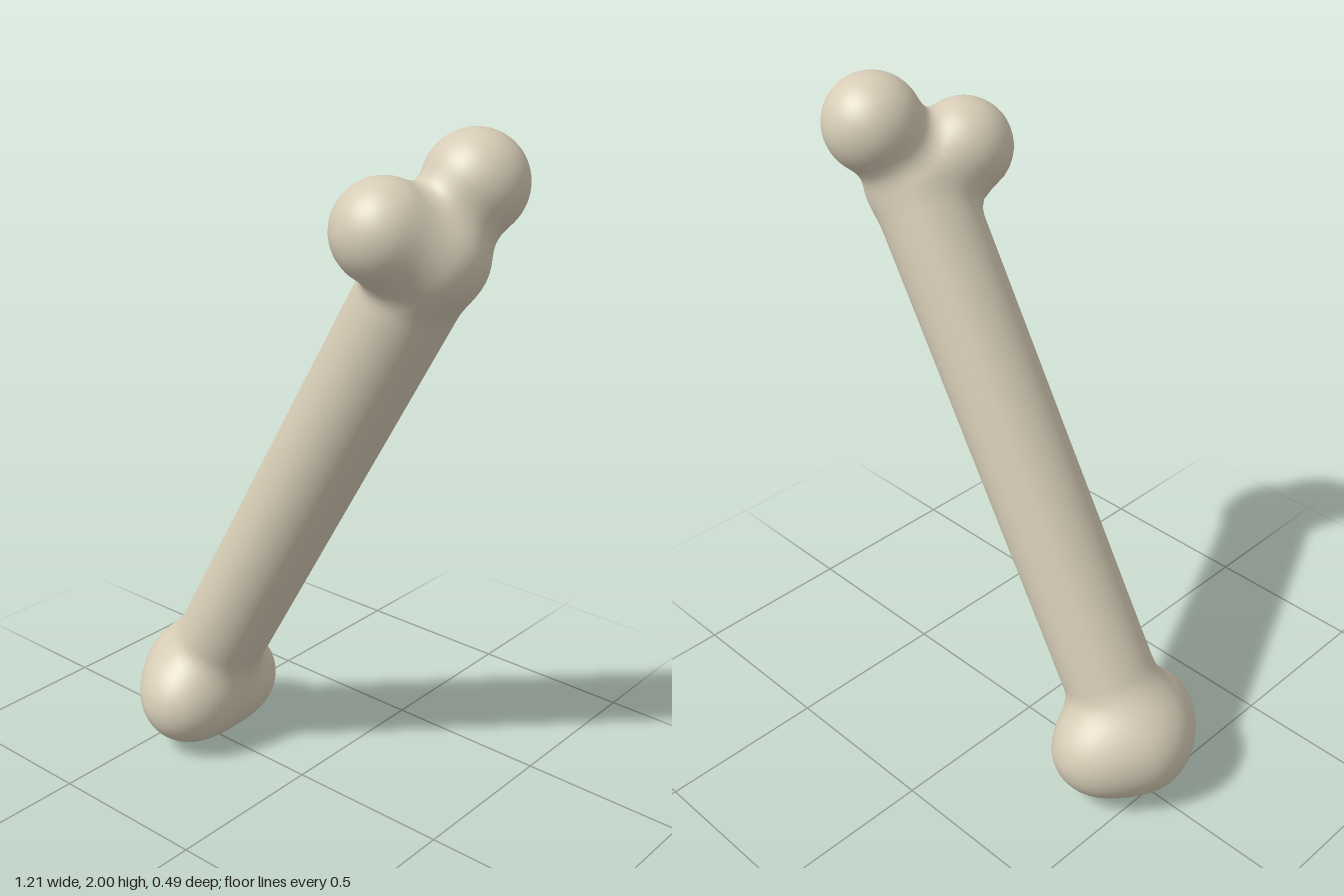
import * as THREE from 'three';

const V = (x, y, z) => new THREE.Vector3(x, y, z);

// Shaft axis and the rounded knobs at both ends: [centre, radius]
const shaftA = V(-0.42, 0.21, -0.008), shaftB = V(0.4, 1.68, -0.022);
const shaftRadius = 0.137;
const knobs = [
  [V(-0.422, 0.187, 0), 0.185],      // lower middle
  [V(-0.388, 0.172, 0.106), 0.135],  // lower front lobe
  [V(-0.388, 0.172, -0.109), 0.135], // lower back lobe
  [V(0.437, 1.7, 0), 0.128],         // upper bridge
  [V(0.357, 1.765, 0.11), 0.135],    // upper front lobe
  [V(0.467, 1.864, -0.114), 0.136],  // upper back lobe
];

// Blends two distances with a soft fillet
function blend(a, b, k) {
  const h = Math.max(k - Math.abs(a - b), 0) / k;
  return Math.min(a, b) - h * h * k * 0.25;
}

const axisLine = new THREE.Line3(shaftA, shaftB);
const nearest = V(0, 0, 0);

// Signed distance to the blended bone
function distance(p) {
  axisLine.closestPointToPoint(p, true, nearest);
  let d = p.distanceTo(nearest) - shaftRadius;
  for (const [centre, radius] of knobs) d = blend(d, p.distanceTo(centre) - radius, 0.065);
  return d;
}

// Surface direction from the slope of the distance
function slope(p) {
  const e = 0.002;
  const along = (x, y, z) => distance(V(p.x + x, p.y + y, p.z + z)) - distance(V(p.x - x, p.y - y, p.z - z));
  return V(along(e, 0, 0), along(0, e, 0), along(0, 0, e)).normalize();
}

// One skin: rings fan around each end and run straight along the shaft
function boneGeometry() {
  const start = V(-0.41, 0.19, 0), end = V(0.412, 1.765, -0.003);
  const axis = end.clone().sub(start).normalize();
  const u = V(0, 0, 1).cross(axis).normalize();
  const v = axis.clone().cross(u);
  const capRows = 44, shaftRows = 90, segments = 112;

  const rows = [];
  for (let i = 0; i < capRows; i++) rows.push([start, -Math.PI / 2 * (1 - i / capRows)]);
  for (let i = 0; i <= shaftRows; i++) rows.push([start.clone().lerp(end, i / shaftRows), 0]);
  for (let i = 1; i <= capRows; i++) rows.push([end, Math.PI / 2 * i / capRows]);

  const positions = [], normals = [], index = [];
  rows.forEach(([origin, tilt], i) => {
    for (let j = 0; j <= segments; j++) {
      const phi = j % segments / segments * Math.PI * 2;
      const dir = axis.clone().multiplyScalar(Math.sin(tilt))
        .addScaledVector(u, Math.cos(tilt) * Math.cos(phi))
        .addScaledVector(v, Math.cos(tilt) * Math.sin(phi));
      const p = origin.clone();
      for (let step = 0; step < 80; step++) {
        const d = distance(p);
        if (Math.abs(d) < 1e-5) break;
        p.addScaledVector(dir, -d);
      }
      positions.push(p.x, p.y, p.z);
      normals.push(...slope(p).toArray());
      if (i < rows.length - 1 && j < segments) {
        const a = i * (segments + 1) + j, b = a + segments + 1;
        index.push(a, a + 1, b, a + 1, b + 1, b);
      }
    }
  });

  const geometry = new THREE.BufferGeometry();
  geometry.setAttribute('position', new THREE.Float32BufferAttribute(positions, 3));
  geometry.setAttribute('normal', new THREE.Float32BufferAttribute(normals, 3));
  geometry.setIndex(index);
  return geometry;
}

export function createModel() {
  const group = new THREE.Group();
  group.name = 'bone';
  const ivory = new THREE.MeshStandardMaterial({ color: 0xd6ccb6 });
  ivory.name = 'ivory';
  const bone = new THREE.Mesh(boneGeometry(), ivory);
  bone.name = 'boneBody';
  group.add(bone);
  return group;
}
